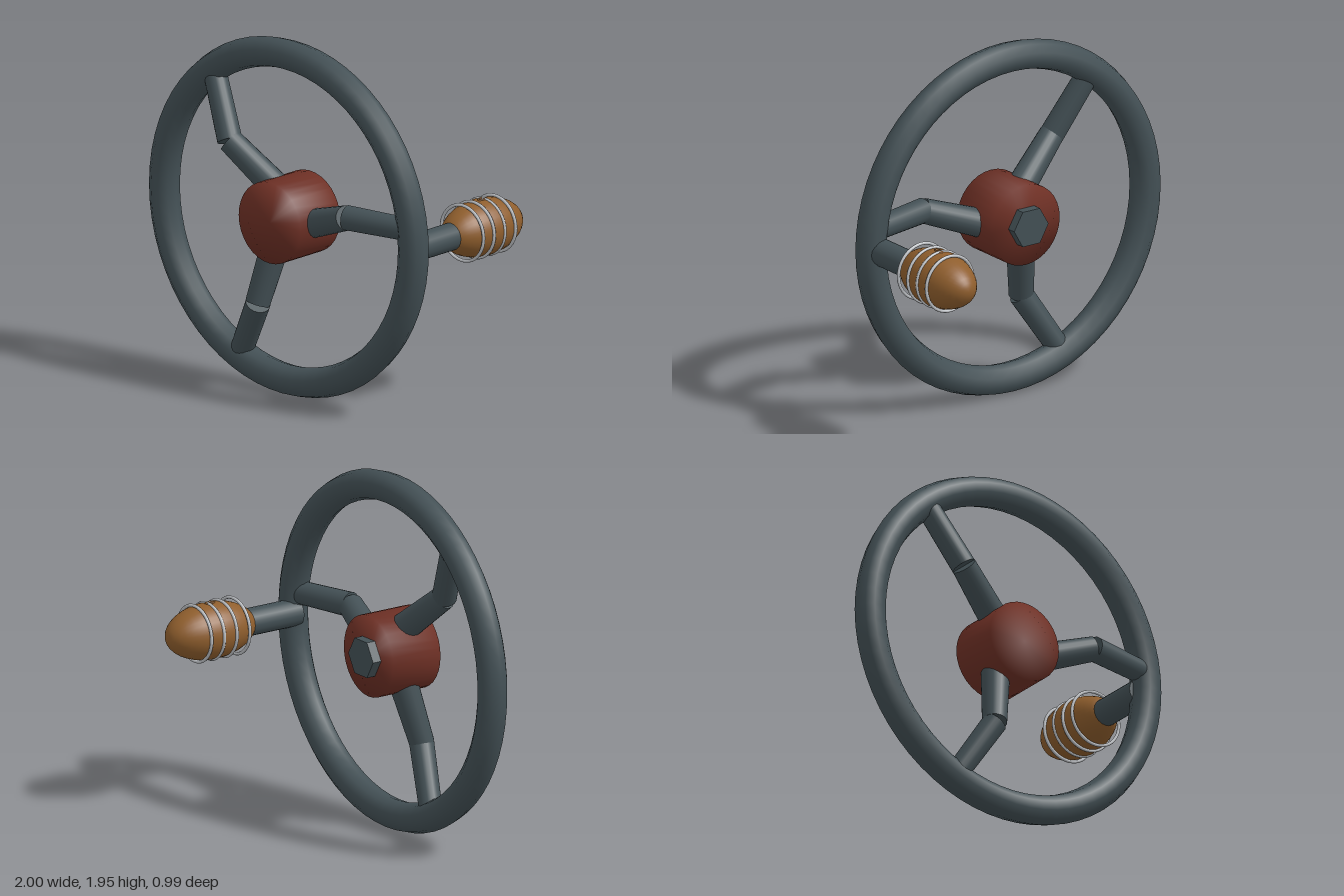
import * as THREE from 'three';
import { mergeVertices } from 'three/addons/utils/BufferGeometryUtils.js';

const material = (name, color) => Object.assign(new THREE.MeshStandardMaterial({ color }), { name });

export function createModel() {
  const darkMetal = material('dark metal', 0x435055);
  const red = material('hub red', 0x6e3025);
  const wood = material('wood', 0x8f5e2d);
  const silver = material('silver wire', 0xbfc2c6);

  const model = new THREE.Group();
  model.name = 'steeringWheel';
  const wheel = new THREE.Group();
  wheel.name = 'wheel';
  wheel.position.set(-0.023, 0.982, 0);
  model.add(wheel);

  const add = (parent, name, geometry, mat, x = 0, y = 0, z = 0) => {
    const mesh = new THREE.Mesh(geometry, mat);
    mesh.name = name;
    mesh.position.set(x, y, z);
    parent.add(mesh);
    return mesh;
  };

  // Round bar running from point a to point b
  const bar = (parent, name, a, b, ra, rb) => {
    const from = new THREE.Vector3(...a), dir = new THREE.Vector3(...b).sub(from);
    const geometry = new THREE.CylinderGeometry(rb, ra, dir.length(), 20);
    const mesh = add(parent, name, geometry, darkMetal);
    mesh.position.copy(from).addScaledVector(dir, 0.5);
    mesh.quaternion.setFromUnitVectors(new THREE.Vector3(0, 1, 0), dir.normalize());
    return mesh;
  };

  // Rim
  add(wheel, 'rim', new THREE.TorusGeometry(0.895, 0.082, 10, 64), darkMetal, 0, 0, 0.342);

  // Hub: a drum with normals softened across its edges
  let drum = new THREE.CylinderGeometry(0.223, 0.223, 0.306, 32).rotateX(Math.PI / 2);
  drum.deleteAttribute('uv');
  drum.deleteAttribute('normal');
  drum = mergeVertices(drum);
  drum.computeVertexNormals();
  add(wheel, 'hub', drum, red, 0, 0, 0.338);

  // Hex nut behind the hub
  const hex = new THREE.CylinderGeometry(0.112, 0.112, 0.09, 6).rotateX(Math.PI / 2).rotateZ(Math.PI / 6);
  const nutGeometry = hex.toNonIndexed();
  nutGeometry.computeVertexNormals();
  add(wheel, 'nut', nutGeometry, darkMetal, 0, 0, 0.178);

  // Three bent spokes
  for (let i = 0; i < 3; i++) {
    const spoke = new THREE.Group();
    spoke.name = 'spoke' + (i + 1);
    spoke.rotation.z = (i * Math.PI * 2) / 3;
    bar(spoke, 'innerSpoke', [0.08, -0.032, 0.325], [0.493, 0.115, 0.425], 0.081, 0.067);
    bar(spoke, 'outerSpoke', [0.493, 0.117, 0.425], [0.875, 0.11, 0.345], 0.067, 0.062);
    wheel.add(spoke);
  }

  // Crank handle: post, egg-shaped grip and wire rings
  const handle = new THREE.Group();
  handle.name = 'handle';
  handle.position.set(0.842, 0.981, 0);
  model.add(handle);
  bar(handle, 'handlePost', [0, 0, 0.34], [0, 0, -0.02], 0.074, 0.074);
  const egg = new THREE.SphereGeometry(0.153, 32, 20).rotateX(Math.PI / 2).scale(1, 1, 0.275 / 0.153);
  add(handle, 'grip', egg, wood, 0, 0, -0.22);
  for (let i = 0; i < 4; i++) {
    add(handle, 'gripRing', new THREE.TorusGeometry(0.152, 0.009, 8, 40), silver, 0, 0, -0.071 - i * 0.083);
  }
  // Small raised loop on top of the grip
  const loop = new THREE.TorusGeometry(0.022, 0.007, 8, 20).rotateX(Math.PI / 2).scale(0.6, 1, 1.1);
  add(handle, 'gripLoop', loop, wood, 0, 0.152, -0.222);

  return model;
}
